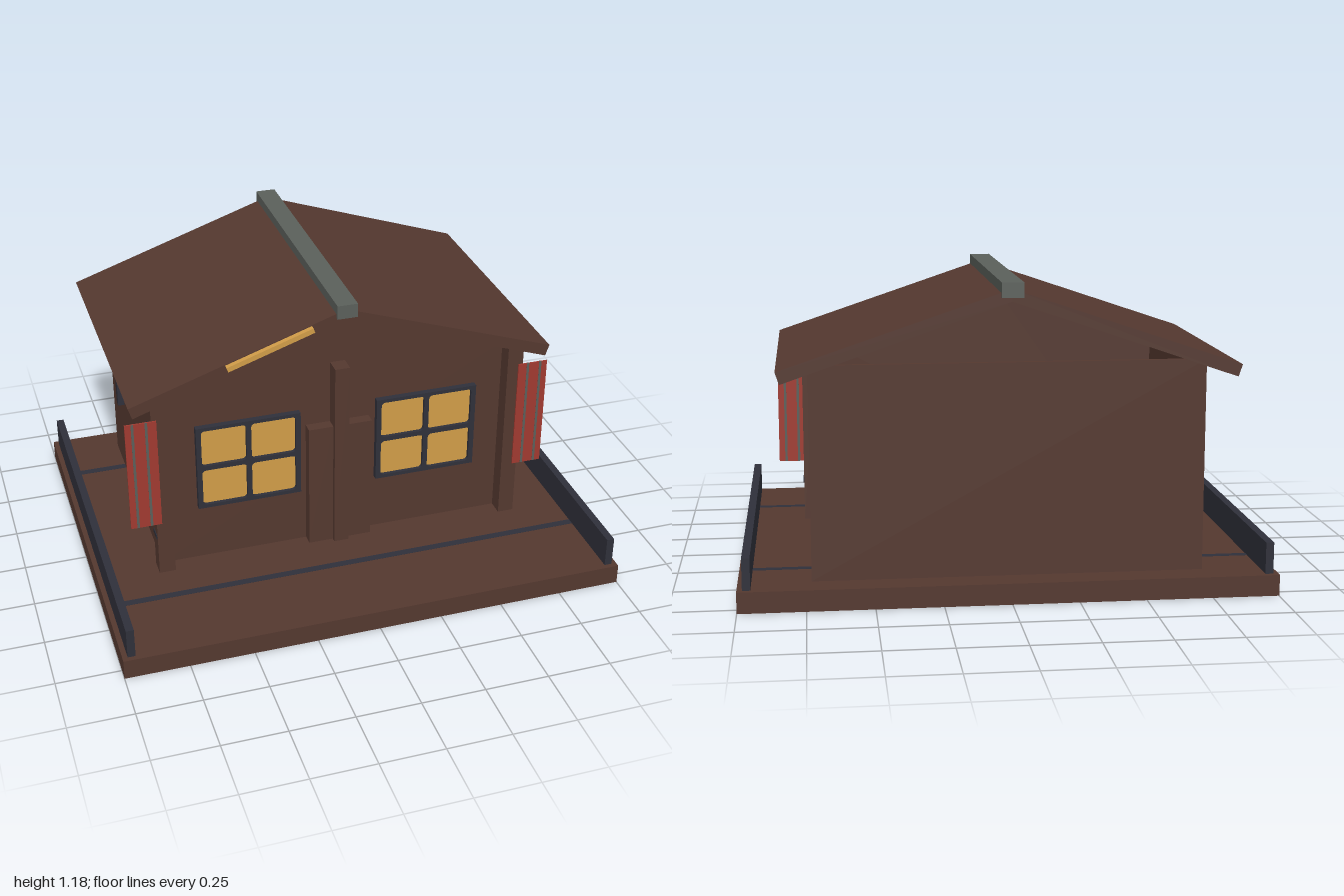
import * as THREE from 'three';

const mat = (name, color) => {
  const m = new THREE.MeshStandardMaterial({ color });
  m.name = name;
  return m;
};

export function createModel() {
  const wood = mat('brown wood', 0x54382f);
  const iron = mat('dark iron', 0x2f303a);
  const glow = mat('amber glass', 0xd09c48);
  const red = mat('red paint', 0xa03a30);
  const stone = mat('grey slate', 0x5a5f5a);

  const root = new THREE.Group();
  root.name = 'cabin';

  const add = (name, geometry, material, parent = root) => {
    const m = new THREE.Mesh(geometry, material);
    m.name = name;
    parent.add(m);
    return m;
  };
  // Box given by its limits on each axis
  const box = (name, material, [x0, x1], [y0, y1], [z0, z1], parent) => {
    const m = add(name, new THREE.BoxGeometry(x1 - x0, y1 - y0, z1 - z0), material, parent);
    m.position.set((x0 + x1) / 2, (y0 + y1) / 2, (z0 + z1) / 2);
    return m;
  };
  // Same box on one side of the model, s = 1 or -1
  const sideBox = (name, material, s, [x0, x1], y, z, parent) =>
    box(name, material, s > 0 ? [x0, x1] : [-x1, -x0], y, z, parent);
  // Outline in x and y, extruded from z0 to z1
  const slab = (name, material, points, z0, z1) => {
    const shape = new THREE.Shape(points.map(([x, y]) => new THREE.Vector2(x, y)));
    const g = new THREE.ExtrudeGeometry(shape, { depth: z1 - z0, bevelEnabled: false });
    g.translate(0, 0, z0);
    return add(name, g, material);
  };

  // Deck with inlaid cross strips
  box('deck', wood, [-1, 1], [0, 0.08], [-0.8, 0.8]);
  for (const z of [0.46, -0.51])
    box('deckStrip', iron, [-0.95, 0.95], [-0.001, 0.081], [z - 0.015, z + 0.015]);

  // Hollow house: the front wall carries the gable, the back is open under the roof
  slab('frontWall', wood, [[-0.73, 0.08], [0.73, 0.08], [0.73, 0.88], [0, 1.13], [-0.73, 0.88]], 0.22, 0.24);
  box('backWall', wood, [-0.73, 0.73], [0.08, 0.88], [-0.69, -0.67]);

  // Centre post on the front wall
  box('centrePost', wood, [-0.03, 0.03], [0.08, 0.88], [0.24, 0.305]);

  for (const s of [1, -1]) {
    sideBox('sideWall', wood, s, [0.71, 0.73], [0.08, 0.88], [-0.67, 0.22]);
    sideBox('sideRail', iron, s, [0.95, 0.98], [0.08, 0.2], [-0.78, 0.78]);
    sideBox('cornerPost', wood, s, [0.69, 0.755], [0.08, 0.88], [0.235, 0.305]);
    sideBox('doorBoard', wood, s, [0.03, 0.13], [0.08, 0.615], [0.24, 0.285]);

    // Hinge plates on the corner posts
    for (const y of [0.245, 0.735])
      sideBox('hingePlate', iron, s, [0.752, 0.758], [y - 0.01, y + 0.01], [0.24, 0.295]);

    // Open shutters with slate battens on both faces
    const shutter = new THREE.Group();
    shutter.name = 'shutter';
    root.add(shutter);
    sideBox('shutterPanel', red, s, [0.735, 0.857], [0.315, 0.78], [0.305, 0.311], shutter);
    for (const x of [0.775, 0.828])
      sideBox('shutterBatten', stone, s, [x - 0.005, x + 0.005], [0.315, 0.78], [0.304, 0.312], shutter);

    // Roof slope
    slab('roofSlope', wood,
      [[0, 1.155], [s * 0.845, 0.87], [s * 0.83, 0.825], [0, 1.11]], -0.765, 0.345);
  }

  // Ridge cap
  box('ridgeCap', stone, [-0.04, 0.04], [1.125, 1.18], [-0.78, 0.36]);

  // Amber light strip along the front roof edge
  const strip = add('lightStrip', new THREE.BoxGeometry(0.355, 0.02, 0.022), glow);
  strip.position.set(-0.3, 1.04, 0.355);
  strip.rotation.z = Math.atan2(0.285, 0.845);

  // Small iron fitting hanging under one eave
  box('eaveFitting', iron, [-0.8, -0.775], [0.6, 0.785], [-0.18, -0.15]);

  // Window: frame with four rounded openings and a recessed pane
  const roundedHole = (x, y, w, h, r) => {
    const p = new THREE.Path();
    p.absarc(x + w / 2 - r, y + h / 2 - r, r, 0, Math.PI / 2);
    p.absarc(x - w / 2 + r, y + h / 2 - r, r, Math.PI / 2, Math.PI);
    p.absarc(x - w / 2 + r, y - h / 2 + r, r, Math.PI, Math.PI * 1.5);
    p.absarc(x + w / 2 - r, y - h / 2 + r, r, Math.PI * 1.5, Math.PI * 2);
    p.closePath();
    return p;
  };
  const W = 0.21, H = 0.183;
  const frame = new THREE.Shape([[-W, -H], [W, -H], [W, H], [-W, H]].map(([x, y]) => new THREE.Vector2(x, y)));
  for (const x of [-0.1, 0.1])
    for (const y of [-0.089, 0.089])
      frame.holes.push(roundedHole(x, y, 0.18, 0.158, 0.015));
  const frameGeometry = new THREE.ExtrudeGeometry(frame, { depth: 0.024, bevelEnabled: false, curveSegments: 4 });
  const paneGeometry = new THREE.BoxGeometry(2 * W - 0.01, 2 * H - 0.01, 0.008);
  for (const x of [-0.367, 0.367]) {
    const win = new THREE.Group();
    win.name = 'window';
    win.position.set(x, 0.505, 0.24);
    add('windowFrame', frameGeometry, iron, win);
    add('windowPane', paneGeometry, glow, win).position.z = 0.006;
    root.add(win);
  }

  return root;
}
